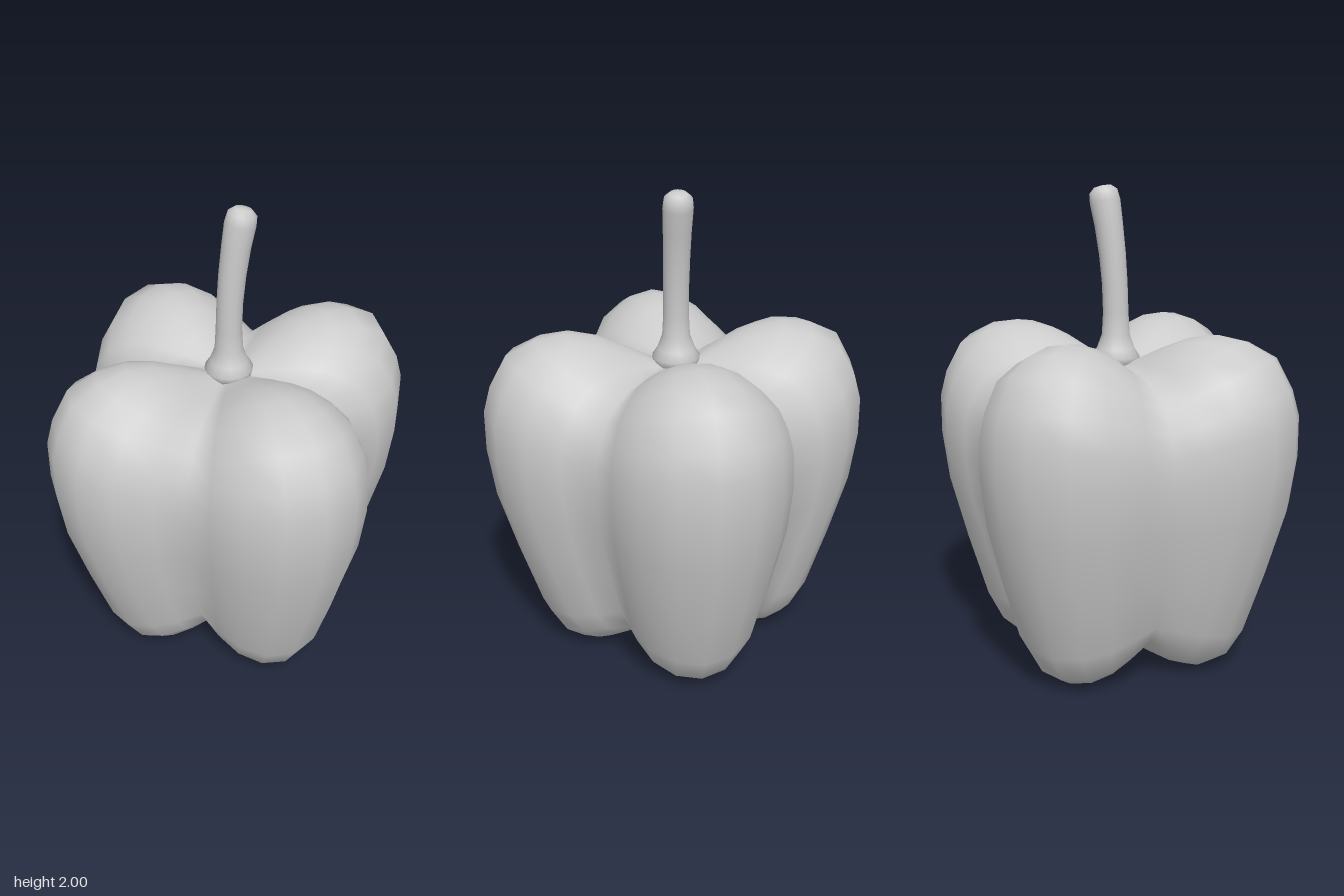
import * as THREE from 'three';
import { mergeVertices } from 'three/addons/utils/BufferGeometryUtils.js';

// Matching [radius, height] profiles, bottom to top: along a lobe's crest and along a valley
const CREST = [[0, .15], [.17, .1], [.28, .02], [.38, 0], [.45, .01], [.53, .06], [.6, .18], [.69, .45], [.77, .72],
  [.8, .93], [.8, 1.1], [.77, 1.21], [.7, 1.34], [.58, 1.4], [.46, 1.42], [.34, 1.4], [.22, 1.35], [.1, 1.29], [0, 1.27]];
const VALLEY = [[0, .15], [.12, .13], [.2, .11], [.25, .11], [.3, .13], [.35, .18], [.4, .26], [.46, .46], [.52, .7],
  [.54, .88], [.535, 1], [.51, 1.09], [.46, 1.17], [.39, 1.22], [.32, 1.25], [.25, 1.26], [.18, 1.27], [.1, 1.27], [0, 1.27]];

// The valleys between the four slightly uneven lobes: [angle from the front in degrees, radius scale]
const VALLEYS = [[-46, 1.01], [45, 1], [140, 1.03], [230, 1.15], [314, 1.01]];
const LOBE_STEPS = 8;

const toPoints = (list) => list.map(([r, y]) => new THREE.Vector2(r, y));

// Closes the lathe seam and poles so the normals run smoothly around
function smooth(geometry) {
  geometry.deleteAttribute('normal');
  geometry.deleteAttribute('uv');
  const merged = mergeVertices(geometry, 1e-4);
  merged.computeVertexNormals();
  return merged;
}

// Lathe whose columns swing between the crest and valley profiles
function bodyGeometry() {
  const columns = 4 * LOBE_STEPS;
  const geometry = new THREE.LatheGeometry(toPoints(CREST), columns);
  const position = geometry.attributes.position;
  for (let i = 0; i <= columns; i++) {
    const column = i % columns;
    const lobe = Math.floor(column / LOBE_STEPS);
    const t = (column % LOBE_STEPS) / LOBE_STEPS;
    const [a0, s0] = VALLEYS[lobe];
    const [a1, s1] = VALLEYS[lobe + 1];
    const angle = THREE.MathUtils.degToRad(a0 + (a1 - a0) * t);
    const scale = s0 + (s1 - s0) * t;
    const crest = Math.pow(Math.sin(Math.PI * t), 1.25);
    CREST.forEach(([cr, cy], j) => {
      const [vr, vy] = VALLEY[j];
      const r = THREE.MathUtils.lerp(vr * scale, cr, crest);
      const y = THREE.MathUtils.lerp(vy, cy, crest);
      position.setXYZ(i * CREST.length + j, r * Math.sin(angle), y, r * Math.cos(angle));
    });
  }
  return smooth(geometry);
}

// Flared stem, bent towards +x with its rings tilted to follow the bend
function stemGeometry() {
  const geometry = new THREE.LatheGeometry(toPoints([[0, 1.25], [.09, 1.26], [.1, 1.3], [.078, 1.335], [.058, 1.39],
    [.053, 1.48], [.053, 1.6], [.055, 1.72], [.058, 1.84], [.062, 1.93], [.057, 1.97], [.035, 1.99], [0, 1.994]]), 16);
  const position = geometry.attributes.position;
  for (let i = 0; i < position.count; i++) {
    const x = position.getX(i);
    const y = position.getY(i);
    const bend = Math.max(0, (y - 1.45) / .55);
    position.setX(i, x - .01 + .065 * bend * bend);
    position.setY(i, y - .24 * bend * x);
  }
  return smooth(geometry);
}

export function createModel() {
  const group = new THREE.Group();
  group.name = 'bellPepper';
  const material = new THREE.MeshStandardMaterial({ color: 0xcccccc });
  const parts = { body: bodyGeometry(), stem: stemGeometry() };
  for (const [name, geometry] of Object.entries(parts)) {
    const mesh = new THREE.Mesh(geometry, material);
    mesh.name = name;
    group.add(mesh);
  }
  return group;
}
